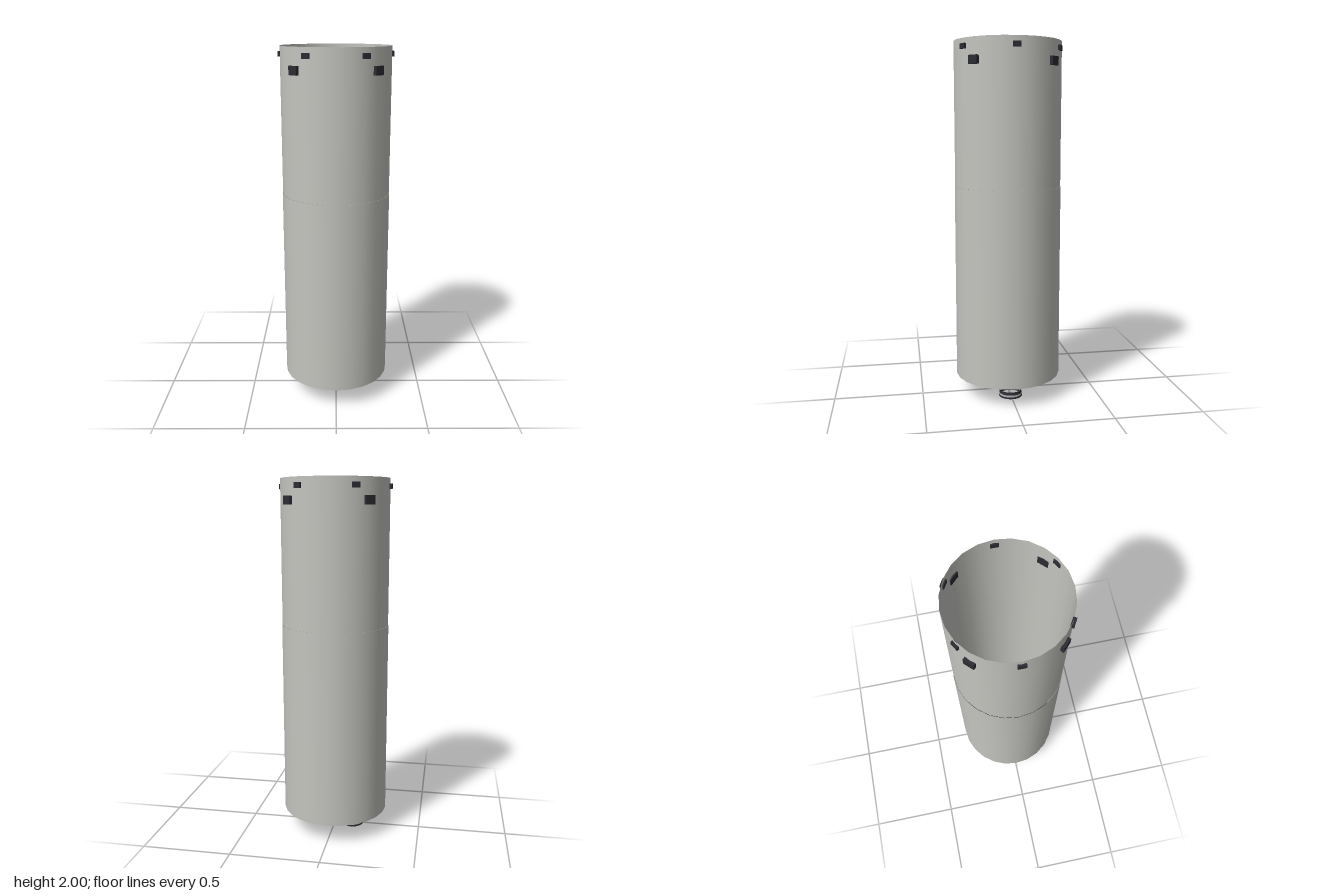
import * as THREE from 'three';

const mat = (name, color, side = THREE.FrontSide) => {
  const m = new THREE.MeshStandardMaterial({ color, side });
  m.name = name;
  return m;
};

export function createModel() {
  const model = new THREE.Group();
  model.name = 'boosterStage';

  const hull = mat('hull grey', 0xc4c4bf, THREE.DoubleSide);
  const dark = mat('dark charcoal', 0x2c2c34, THREE.DoubleSide);
  const copper = mat('copper', 0xc8825a, THREE.DoubleSide);
  const steel = mat('light steel', 0xa9a9a9, THREE.DoubleSide);

  const add = (parent, name, geometry, material, x = 0, y = 0, z = 0) => {
    const mesh = new THREE.Mesh(geometry, material);
    mesh.name = name;
    mesh.position.set(x, y, z);
    parent.add(mesh);
    return mesh;
  };

  // Open tube between two heights
  const tube = (r, y0, y1) =>
    new THREE.CylinderGeometry(r, r, y1 - y0, 24, 1, true).translate(0, (y0 + y1) / 2, 0);

  // Body: two open sections meeting at a seam
  add(model, 'lowerBody', tube(0.3, 0.113, 1.205), hull);
  add(model, 'upperBody', tube(0.298, 1.205, 2), hull);

  // Bulkhead that carries the engines
  add(model, 'engineBulkhead', new THREE.CircleGeometry(0.293, 24).rotateX(-Math.PI / 2), dark, 0, 0.215, 0);

  // Blocks set through the wall near the top rim
  const blockRing = (name, count, start, radius, y, size) => {
    const geometry = new THREE.BoxGeometry(...size);
    for (let i = 0; i < count; i++) {
      const a = start + (i * Math.PI * 2) / count;
      const block = add(model, name, geometry, dark, Math.cos(a) * radius, y, Math.sin(a) * radius);
      block.rotation.y = -a;
    }
  };
  blockRing('smallRimBlock', 6, 0, 0.299, 1.957, [0.018, 0.028, 0.041]);
  blockRing('largeRimBlock', 4, Math.PI / 4, 0.301, 1.884, [0.022, 0.046, 0.057]);

  // Engines: throat, bell and a separate exit ring
  const lathe = (points) =>
    new THREE.LatheGeometry(points.map(([r, y]) => new THREE.Vector2(r, y)), 24);
  for (const side of [1, -1]) {
    const engine = new THREE.Group();
    engine.name = side > 0 ? 'leftEngine' : 'rightEngine';
    engine.position.x = side * 0.103;
    add(engine, 'throat', lathe([[0.028, 0.195], [0.022, 0.203], [0.022, 0.214]]), steel);
    add(engine, 'bell', lathe([[0.056, 0.07], [0.051, 0.113], [0.042, 0.155], [0.028, 0.195]]), copper);
    add(engine, 'exitRingUpper', lathe([[0.064, 0.02], [0.061, 0.037]]), dark);
    add(engine, 'exitRingBand', lathe([[0.066, 0.01], [0.064, 0.02]]), steel);
    add(engine, 'exitRingLip', lathe([[0.067, 0], [0.066, 0.01]]), dark);
    model.add(engine);
  }

  return model;
}
